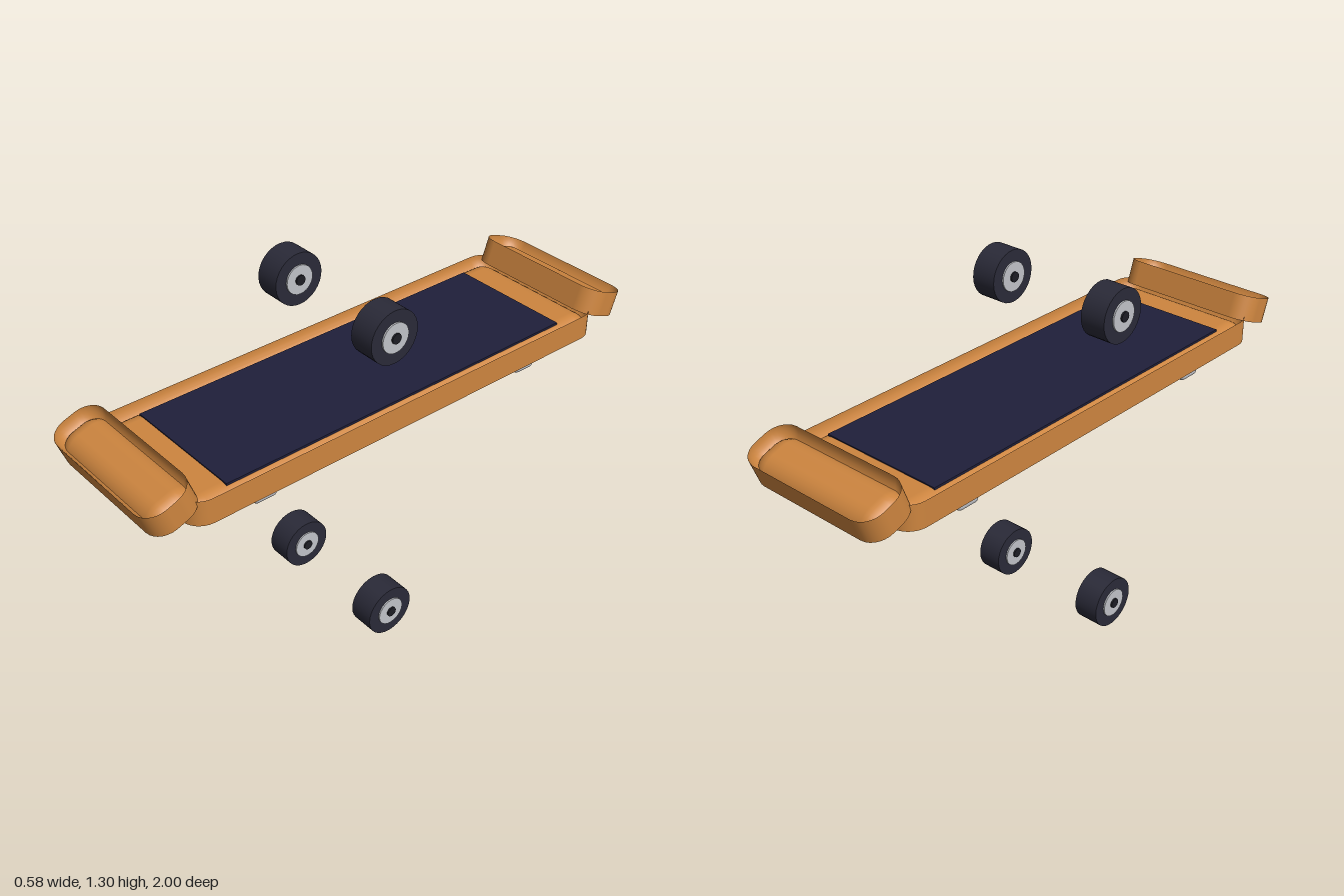
import * as THREE from 'three';
import { RoundedBoxGeometry } from 'three/addons/geometries/RoundedBoxGeometry.js';

const mat = (name, color, side = THREE.FrontSide) => {
  const m = new THREE.MeshStandardMaterial({ color, side });
  m.name = name;
  return m;
};

// Rounded slab whose top and bottom edge curves cross, leaving a raised rim
// around a slightly domed floor on both faces.
function rimmedSlab(width, height, depth, radius) {
  const tall = 4 * radius;
  const g = new RoundedBoxGeometry(width, tall, depth, 4, radius);
  const p = g.attributes.position, n = g.attributes.normal, uv = g.attributes.uv;
  const shift = (tall - height) / 2;
  for (let i = 0; i < p.count; i++) p.setY(i, p.getY(i) - Math.sign(p.getY(i)) * shift);
  // The upright wall band turns over, so restore its corner order
  for (let i = 0; i < p.count; i += 3) {
    if ([0, 1, 2].every(k => Math.abs(n.getY(i + k)) < 0.01)) {
      for (const a of [p, n, uv]) {
        for (let c = 0; c < a.itemSize; c++) {
          const t = a.getComponent(i + 1, c);
          a.setComponent(i + 1, c, a.getComponent(i + 2, c));
          a.setComponent(i + 2, c, t);
        }
      }
    }
  }
  return g;
}

export function createModel() {
  const group = new THREE.Group();
  group.name = 'skateboard';
  const wood = mat('orange wood', 0xcd853f, THREE.DoubleSide);
  const gripDark = mat('navy grip', 0x1f1f3a);
  const metal = mat('light metal', 0xc0c2c8);
  const rubber = mat('dark rubber', 0x2a2a38);
  const axleDark = mat('dark axle', 0x1c1c24);

  const add = (parent, name, geometry, material, x, y, z) => {
    const m = new THREE.Mesh(geometry, material);
    m.name = name;
    m.position.set(x, y, z);
    parent.add(m);
    return m;
  };

  // Deck and grip sheet
  add(group, 'deck', rimmedSlab(0.56, 0.05, 1.7, 0.07), wood, 0, 0.9, 0);
  add(group, 'gripSheet', new THREE.BoxGeometry(0.465, 0.008, 1.4), gripDark, 0, 0.925, 0);

  // Tilted nose and tail, and the two truck bars
  const kick = rimmedSlab(0.56, 0.05, 0.18, 0.07);
  const truck = new RoundedBoxGeometry(0.464, 0.062, 0.09, 3, 0.017);
  for (const s of [1, -1]) {
    add(group, s > 0 ? 'nose' : 'tail', kick, wood, 0, 0.948, s * 0.9).rotation.x = s * 0.35;
    add(group, s > 0 ? 'frontTruck' : 'rearTruck', truck, metal, 0, 0.821, s * 0.557);
  }

  // Wheels: tyre, hub and axle on one line
  const cyl = (r, w, n) => new THREE.CylinderGeometry(r, r, w, n).rotateZ(Math.PI / 2);
  const tyre = cyl(0.093, 0.093, 32);
  const hub = cyl(0.052, 0.104, 24);
  const axle = cyl(0.018, 0.116, 16);
  for (const [level, y] of [['lower', 0.093], ['upper', 1.208]]) {
    for (const s of [1, -1]) {
      const wheel = new THREE.Group();
      wheel.name = level + (s > 0 ? 'Left' : 'Right') + 'Wheel';
      wheel.position.set(s * 0.233, y, 0.094);
      add(wheel, 'tyre', tyre, rubber, 0, 0, 0);
      add(wheel, 'hub', hub, metal, 0, 0, 0);
      add(wheel, 'axle', axle, axleDark, 0, 0, 0);
      group.add(wheel);
    }
  }
  return group;
}
